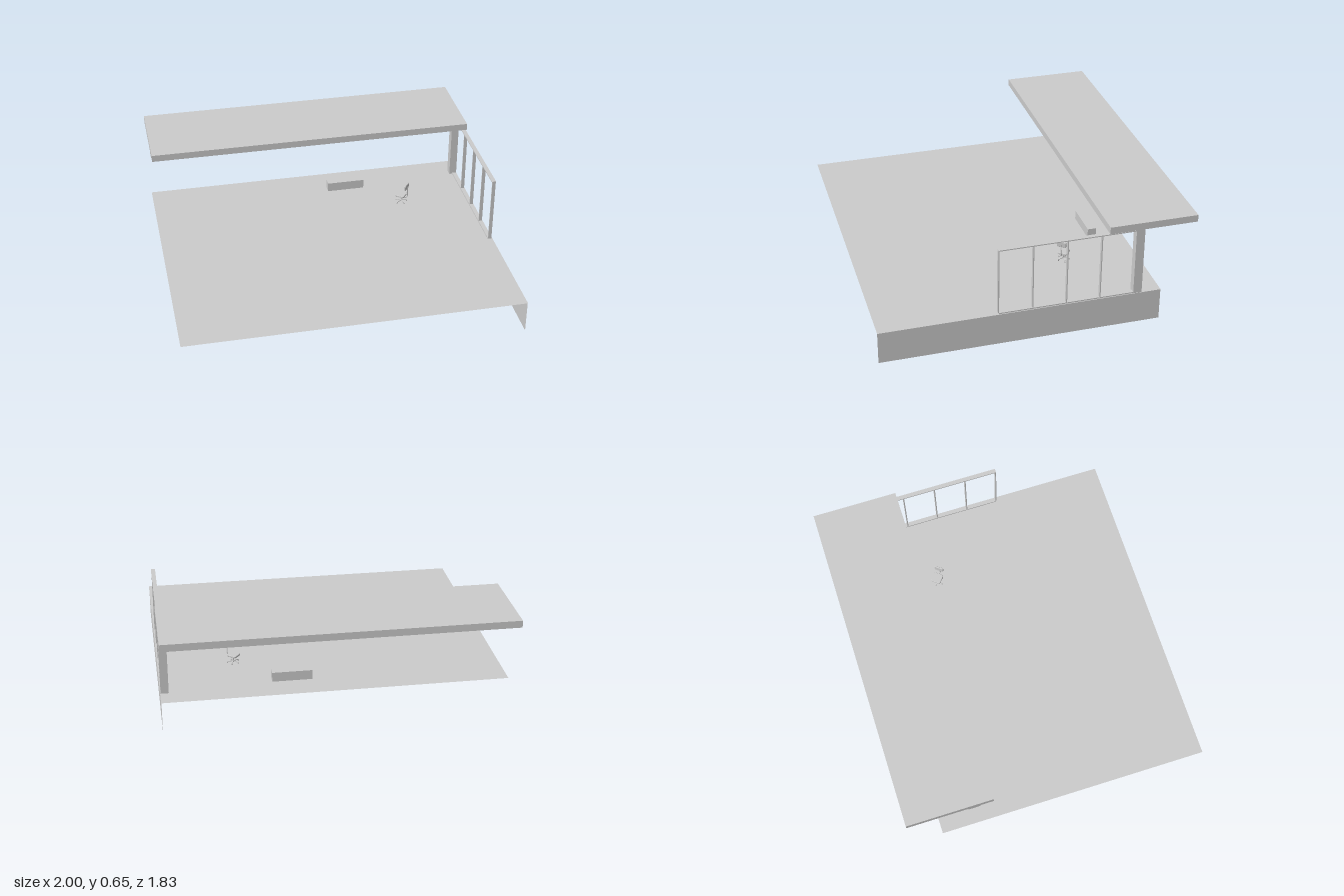
import * as THREE from 'three';

const FLOOR = 0.195;
const material = new THREE.MeshStandardMaterial({ color: 0xcccccc, flatShading: true, side: THREE.DoubleSide });

function add(parent, name, geometry, x = 0, y = 0, z = 0) {
  const mesh = new THREE.Mesh(geometry, material);
  mesh.name = name;
  mesh.position.set(x, y, z);
  parent.add(mesh);
  return mesh;
}

// Box given by its limits on each axis
function block(parent, name, [x0, x1], [y0, y1], [z0, z1]) {
  return add(parent, name, new THREE.BoxGeometry(x1 - x0, y1 - y0, z1 - z0),
    (x0 + x1) / 2, (y0 + y1) / 2, (z0 + z1) / 2);
}

// Five-star swivel chair, facing +z, standing on y = 0
function createChair() {
  const chair = new THREE.Group();
  chair.name = 'officeChair';
  for (let i = 0; i < 5; i++) {
    const leg = new THREE.Group();
    leg.name = 'baseLeg';
    leg.rotation.y = (i / 5) * Math.PI * 2;
    const arm = add(leg, 'legArm', new THREE.BoxGeometry(0.005, 0.004, 0.036), 0, 0.011, 0.018);
    arm.rotation.x = 0.1;
    const caster = add(leg, 'caster', new THREE.CylinderGeometry(0.004, 0.004, 0.006, 8), 0, 0.004, 0.035);
    caster.rotation.z = Math.PI / 2;
    chair.add(leg);
  }
  add(chair, 'gasLift', new THREE.CylinderGeometry(0.003, 0.004, 0.034, 8), 0, 0.026, 0);
  add(chair, 'seatPlate', new THREE.BoxGeometry(0.026, 0.005, 0.036), 0, 0.043, -0.002);

  // Cushions with rounded corners
  const cushion = (w, h, r, depth) => {
    const s = new THREE.Shape();
    const a = w / 2 - r, b = h / 2 - r;
    s.absarc(a, b, r, 0, Math.PI / 2);
    s.absarc(-a, b, r, Math.PI / 2, Math.PI);
    s.absarc(-a, -b, r, Math.PI, Math.PI * 1.5);
    s.absarc(a, -b, r, Math.PI * 1.5, Math.PI * 2);
    const g = new THREE.ExtrudeGeometry(s, {
      depth: depth - 0.004, bevelEnabled: true, bevelThickness: 0.002,
      bevelSize: 0.002, bevelOffset: -0.002, bevelSegments: 1, curveSegments: 3,
    });
    return g.center();
  };
  const seat = add(chair, 'seat', cushion(0.06, 0.062, 0.01, 0.012), 0, 0.051, 0.003);
  seat.rotation.x = -Math.PI / 2;
  const back = add(chair, 'backrest', cushion(0.056, 0.036, 0.008, 0.01), 0, 0.12, -0.034);
  back.rotation.x = -0.08;

  // Bent support from under the seat up to the backrest
  const path = new THREE.CatmullRomCurve3([
    [0, 0.043, -0.01], [0, 0.043, -0.034], [0, 0.052, -0.041], [0, 0.085, -0.041], [0, 0.122, -0.04],
  ].map((p) => new THREE.Vector3(...p)));
  add(chair, 'backSupport', new THREE.TubeGeometry(path, 14, 0.003, 6));
  return chair;
}

export function createModel() {
  const model = new THREE.Group();
  model.name = 'pavilion';

  // Thin floor and the skirt closing its left side
  const floor = add(model, 'floor', new THREE.PlaneGeometry(2, 1.635), 0, FLOOR, 0.0975);
  floor.rotation.x = -Math.PI / 2;
  const skirt = add(model, 'sideSkirt', new THREE.PlaneGeometry(1.635, FLOOR), 0.998, FLOOR / 2, 0.0975);
  skirt.rotation.y = Math.PI / 2;

  // Roof slab, beam and post
  block(model, 'roof', [-1, 1], [0.61, 0.652], [-0.915, -0.4]);
  block(model, 'roofBeam', [-1, 0.952], [0.593, 0.61], [-0.55, -0.48]);
  block(model, 'post', [0.951, 0.997], [FLOOR, 0.61], [-0.606, -0.556]);

  // Open window frame along the left side
  const frame = new THREE.Group();
  frame.name = 'windowFrame';
  block(frame, 'sill', [0.97, 0.995], [FLOOR, 0.202], [-0.556, 0.232]);
  block(frame, 'topRail', [0.97, 0.995], [0.6, 0.606], [-0.556, 0.234]);
  for (let i = 0; i < 4; i++) {
    const z = 0.232 - i * 0.197;
    block(frame, 'mullion', [0.972, 0.993], [0.202, 0.6], [z - 0.003, z + 0.003]);
  }
  model.add(frame);

  // Furniture
  block(model, 'bench', [0.122, 0.355], [FLOOR, 0.252], [-0.558, -0.505]);
  const chair = createChair();
  chair.position.set(0.553, FLOOR + 0.003, -0.286);
  chair.rotation.y = Math.atan2(-0.78, -0.62);
  model.add(chair);

  return model;
}
